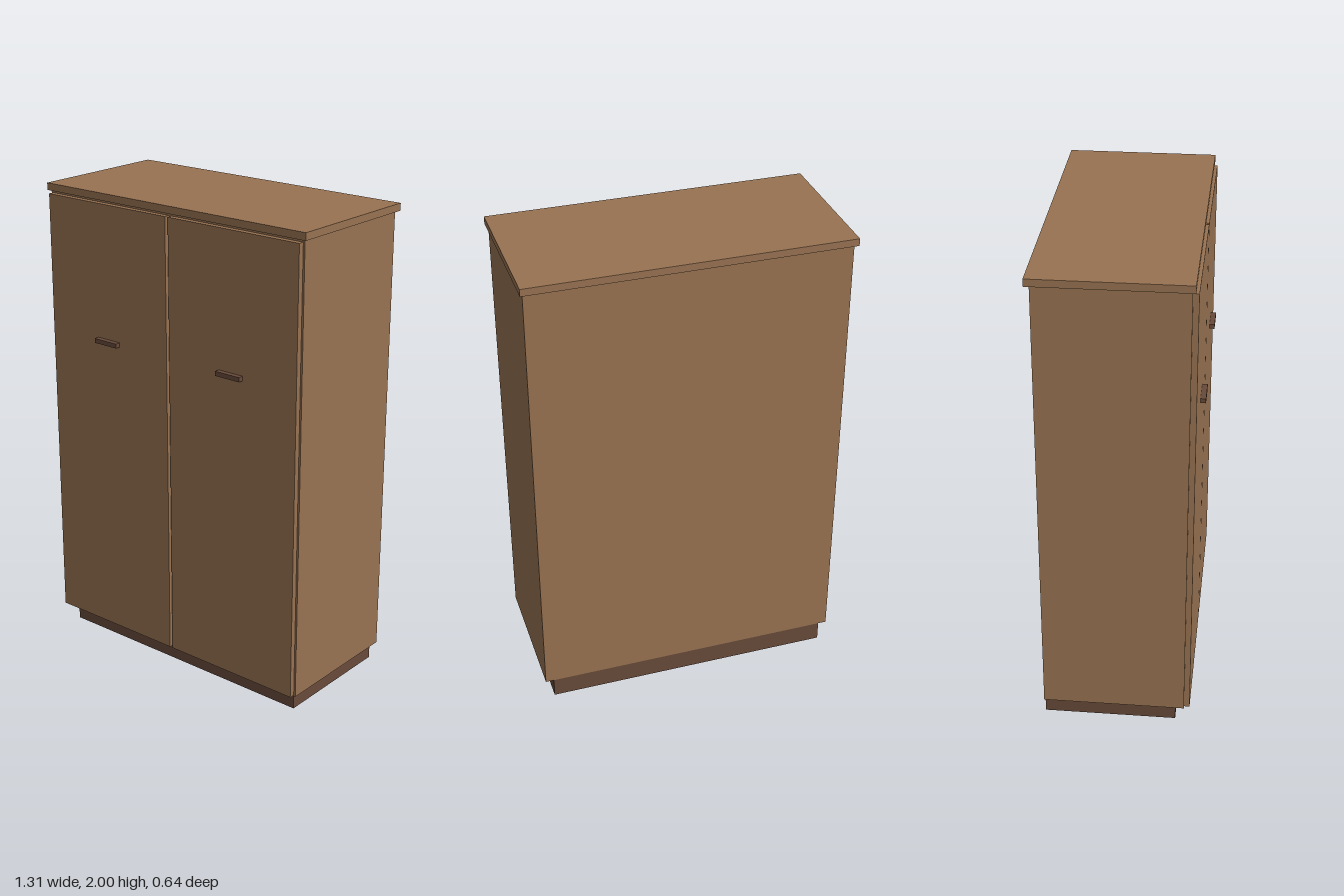
import * as THREE from 'three';

export function createModel() {
  const group = new THREE.Group();
  const wood = new THREE.MeshStandardMaterial({ name: 'wood', color: 0x987352 });
  const darkWood = new THREE.MeshStandardMaterial({ name: 'dark wood', color: 0x684a3a });

  // Box given by its lower and upper limits on each axis
  function box(name, material, [x0, x1], [y0, y1], [z0, z1]) {
    const mesh = new THREE.Mesh(new THREE.BoxGeometry(x1 - x0, y1 - y0, z1 - z0), material);
    mesh.position.set((x0 + x1) / 2, (y0 + y1) / 2, (z0 + z1) / 2);
    mesh.name = name;
    group.add(mesh);
  }

  // Recessed plinth, carcass and overhanging top
  box('plinth', darkWood, [-0.608, 0.608], [0, 0.085], [-0.303, 0.24]);
  box('carcass', wood, [-0.643, 0.643], [0.085, 1.97], [-0.303, 0.277]);
  box('topPanel', wood, [-0.655, 0.655], [1.97, 2], [-0.322, 0.289]);

  // Pair of doors with bar handles
  for (const [side, s] of [['left', 1], ['right', -1]]) {
    const span = (a, b) => (s > 0 ? [a, b] : [-b, -a]);
    box(side + 'Door', wood, span(0.007, 0.635), [0.09, 1.96], [0.277, 0.3]);
    box(side + 'Handle', darkWood, span(0.261, 0.379), [1.381, 1.4], [0.3, 0.322]);
  }

  return group;
}
